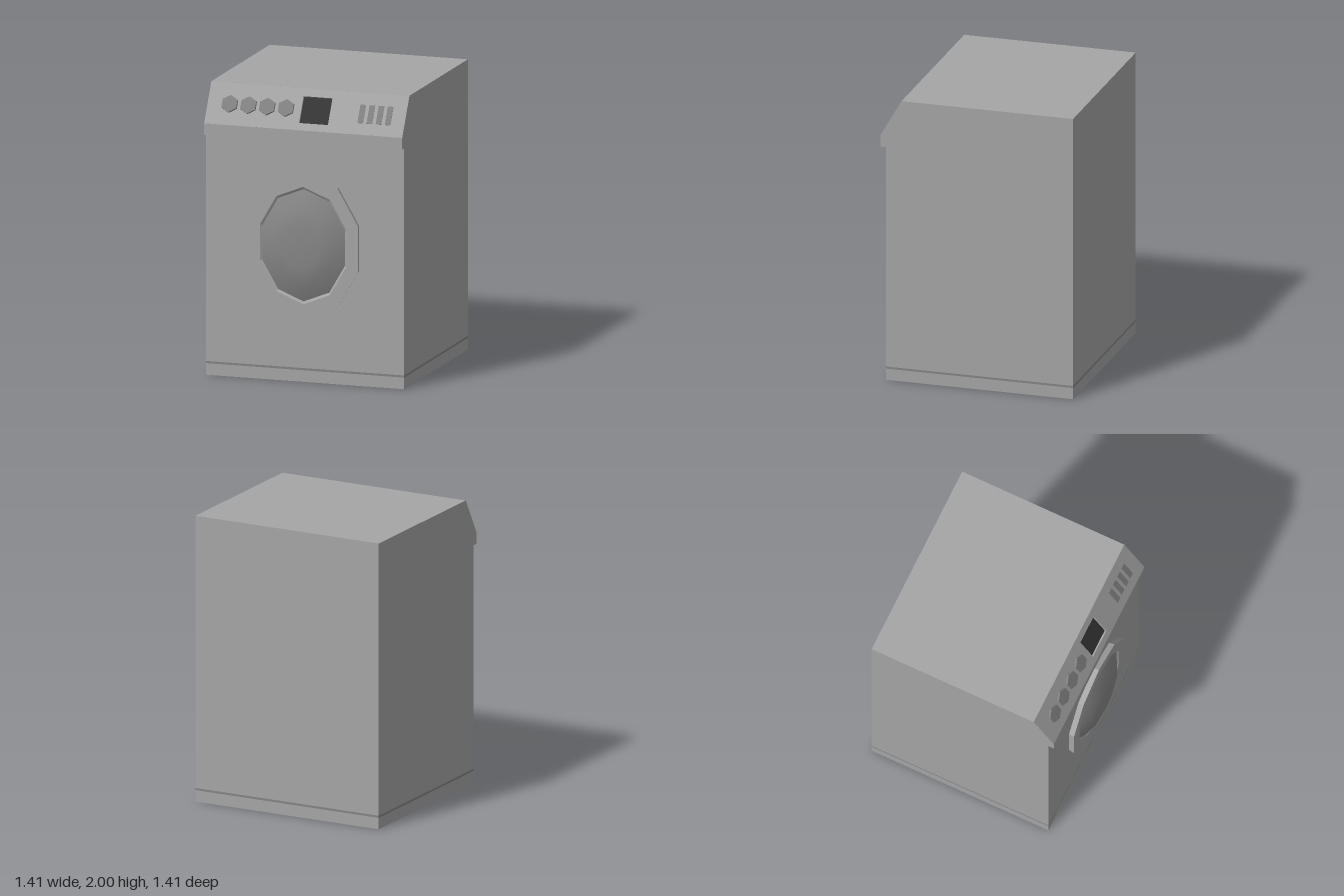
import * as THREE from 'three';

const grey = new THREE.MeshStandardMaterial({ color: 0xa5a5a5 });
const facetGrey = new THREE.MeshStandardMaterial({ color: 0xa5a5a5, flatShading: true });
const knobGrey = new THREE.MeshStandardMaterial({ color: 0x818181, flatShading: true });
const glassGrey = new THREE.MeshStandardMaterial({ color: 0x878787 });
const seamGrey = new THREE.MeshStandardMaterial({ color: 0x848484 });
const dark = new THREE.MeshStandardMaterial({ color: 0x353535 });

const HALF = 0.705;   // half width, and distance to the back
const FRONT = 0.615;  // front face of the cabinet

function add(parent, name, geometry, material, x = 0, y = 0, z = 0) {
  const mesh = new THREE.Mesh(geometry, material);
  mesh.name = name;
  mesh.position.set(x, y, z);
  parent.add(mesh);
  return mesh;
}

const points = (list) => list.map(([a, b]) => new THREE.Vector2(a, b));

// Ten-sided oval turned around the z axis, from a profile of [radius, z]
function oval(profile) {
  return new THREE.LatheGeometry(points(profile), 10).rotateX(Math.PI / 2).scale(0.8, 1, 1);
}

export function createModel() {
  const model = new THREE.Group();
  model.name = 'washingMachine';

  // Cabinet: side profile [z, y] with a shallow step for the sloping control panel
  const side = new THREE.Shape(points([
    [-HALF, 0.095], [FRONT, 0.095], [FRONT, 1.66], [0.655, 1.66], [0.655, 1.74],
    [0.637, 1.7411], [0.497, 1.9838], [0.505, 2], [-HALF, 2],
  ]));
  const cabinet = new THREE.ExtrudeGeometry(side, { depth: 2 * HALF, bevelEnabled: false });
  cabinet.rotateY(-Math.PI / 2).translate(HALF, 0, 0);
  add(model, 'cabinet', cabinet, grey);

  // Plinth below a narrow darker seam
  const depth = FRONT + HALF, midZ = (FRONT - HALF) / 2;
  add(model, 'plinth', new THREE.BoxGeometry(2 * HALF, 0.08, depth), grey, 0, 0.04, midZ);
  add(model, 'plinthSeam', new THREE.BoxGeometry(2 * HALF, 0.015, depth), seamGrey, 0, 0.0875, midZ);

  // Door: faceted frame and smooth bulging glass
  const door = new THREE.Group();
  door.name = 'door';
  door.position.set(0, 0.948, FRONT);
  model.add(door);
  add(door, 'doorFrame', oval([[0.505, 0], [0.513, 0.04], [0.405, 0.04], [0.387, 0.029]]), facetGrey);
  add(door, 'doorGlass', oval([[0.387, 0.029], [0.27, 0.075], [0.155, 0.095], [0, 0.095]]), glassGrey);

  // Control panel: local z points out of the slope
  const panel = new THREE.Group();
  panel.name = 'controlPanel';
  panel.position.set(0, 1.87, 0.58);
  panel.rotation.x = -Math.PI / 6;
  model.add(panel);

  // Face plate with a window for the sunken display
  const plate = new THREE.Shape(points([[-HALF, -0.15], [HALF, -0.15], [HALF, 0.15], [-HALF, 0.15]]));
  plate.holes.push(new THREE.Path(points([[-0.038, -0.098], [-0.038, 0.092], [0.167, 0.092], [0.167, -0.098]])));
  add(panel, 'panelFace', new THREE.ExtrudeGeometry(plate, { depth: 0.015, bevelEnabled: false }), grey, 0, 0, -0.015);
  add(panel, 'display', new THREE.BoxGeometry(0.205, 0.19, 0.01), dark, 0.0645, -0.003, -0.019);

  // Four hexagonal knobs and four nearly flush buttons
  const knob = new THREE.CylinderGeometry(0.061, 0.061, 0.026, 6).rotateX(Math.PI / 2);
  const button = new THREE.BoxGeometry(0.04, 0.132, 0.014);
  for (let i = 0; i < 4; i++) {
    add(panel, 'knob', knob, knobGrey, -0.546 + 0.1335 * i, -0.002, 0.001);
    add(panel, 'button', button, knobGrey, 0.392 + 0.065 * i, -0.003, -0.005);
  }
  return model;
}
